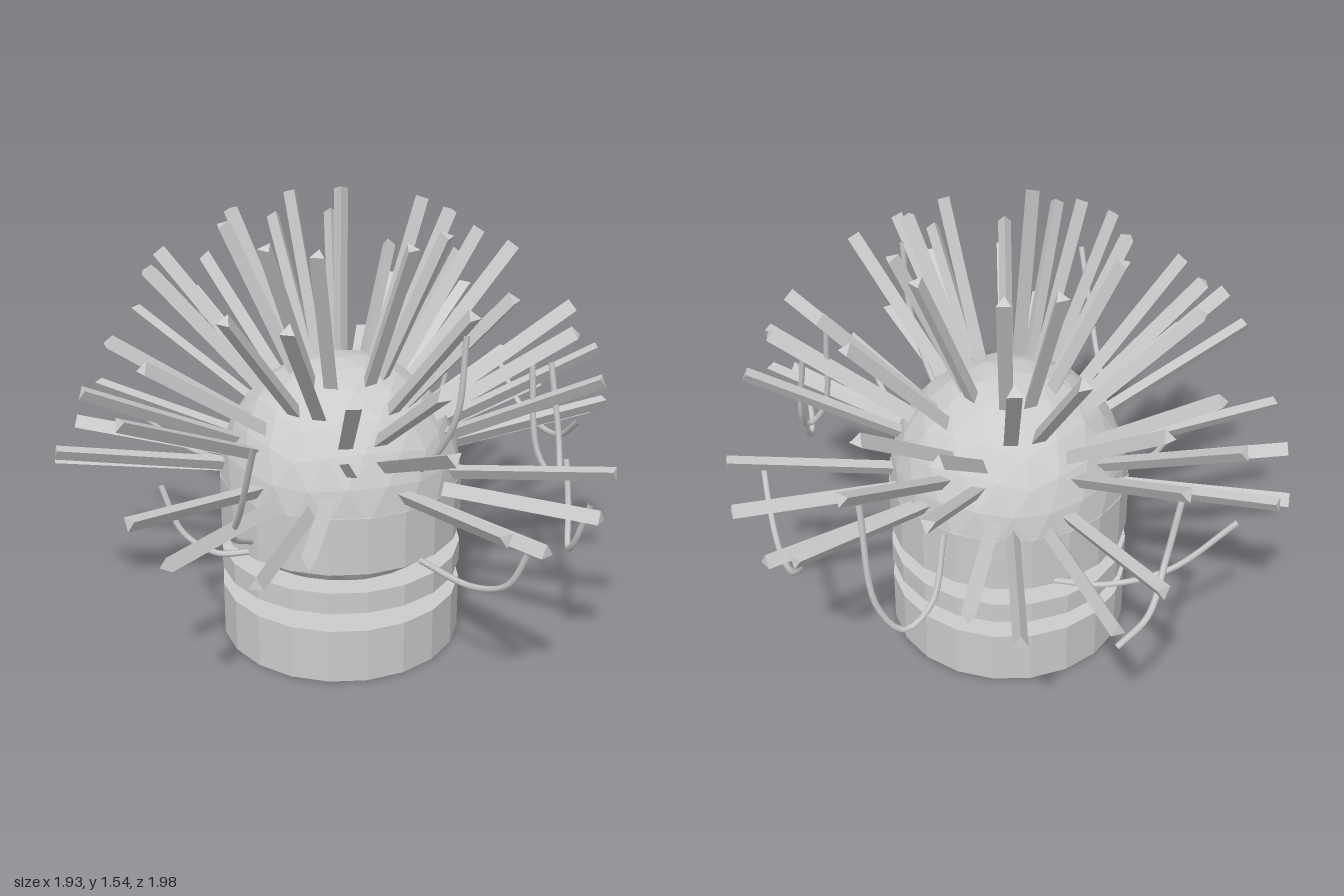
import * as THREE from 'three';

const CENTRE = new THREE.Vector3(-0.02, 0.61, 0);
const rad = THREE.MathUtils.degToRad;
const material = new THREE.MeshStandardMaterial({ color: 0xcccccc, flatShading: true });
const wireMaterial = new THREE.MeshStandardMaterial({ color: 0xcccccc });

function addMesh(parent, name, geometry, mat = material) {
  const mesh = new THREE.Mesh(geometry, mat);
  mesh.name = name;
  parent.add(mesh);
  return mesh;
}

// Three-sided rod pointing away from the dome centre, ridge up or down
function spikeGeometry(elevation, azimuth, ridgeUp) {
  const inner = 0.36, outer = 1.0;
  const g = new THREE.CylinderGeometry(0.028, 0.028, outer - inner, 3);
  g.translate(0, (inner + outer) / 2, 0);
  g.rotateY(ridgeUp ? -Math.PI / 2 : Math.PI / 2);
  g.rotateZ(-rad(90 - elevation));
  g.rotateY(rad(azimuth));
  return g.translate(CENTRE.x, CENTRE.y, CENTRE.z);
}

export function createModel() {
  const model = new THREE.Group();
  model.name = 'spikedDome';

  // Grooved round base
  const profile = [
    [0, 0], [0.43, 0], [0.43, 0.2], [0.3, 0.2], [0.3, 0.235],
    [0.43, 0.27], [0.43, 0.35], [0.3, 0.35], [0.3, 0.39],
    [0.43, 0.42], [0.43, 0.63], [0.38, 0.64],
  ].map(([r, y]) => new THREE.Vector2(r, y));
  addMesh(model, 'base', new THREE.LatheGeometry(profile, 20)).position.x = CENTRE.x;

  // Faceted dome with one vertex straight up
  const dome = new THREE.IcosahedronGeometry(0.43, 3);
  dome.rotateZ(Math.atan(2 / (1 + Math.sqrt(5))));
  dome.rotateY(Math.PI);
  addMesh(model, 'dome', dome).position.copy(CENTRE);

  // Spikes in rings of five pairs: elevation, pair centre, half spread, ridge up
  const spikes = new THREE.Group();
  spikes.name = 'spikes';
  model.add(spikes);
  const rings = [
    [66.9, 0, 13.3, true],
    [49.5, 0, 9.5, true],
    [36.5, 36, 9.8, true],
    [25.8, 36, 9.5, false],
    [9.8, 0, 18, false],
    [4.6, 0, 8.8, true],
  ];
  for (const [elevation, offset, spread, ridgeUp] of rings) {
    for (let k = 0; k < 5; k++) {
      for (const side of [-1, 1]) {
        addMesh(spikes, 'spike', spikeGeometry(elevation, offset + 72 * k + side * spread, ridgeUp));
      }
    }
  }

  // Loose wires hanging between the spikes
  const wires = new THREE.Group();
  wires.name = 'wires';
  model.add(wires);
  const paths = [
    [[0.09, 1.29, 0.59], [0.08, 1.02, 0.57], [0.07, 0.85, 0.48], [0.06, 0.74, 0.38]],
    [[0.11, 0.67, 0.93], [0.09, 0.53, 0.86], [0.07, 0.45, 0.7], [0.05, 0.42, 0.42]],
    [[-0.67, 0.67, -0.1], [-0.62, 0.5, -0.04], [-0.53, 0.43, 0.03], [-0.43, 0.43, 0.08]],
    [[-0.66, 1.08, 0.58], [-0.62, 0.78, 0.4], [-0.55, 0.57, 0.2], [-0.43, 0.48, 0.1]],
    [[-0.5, 0.69, -0.72], [-0.3, 0.5, -0.63], [-0.1, 0.44, -0.53], [0.03, 0.43, -0.42]],
    [[-0.14, 1.02, -0.88], [-0.08, 0.82, -0.9], [0.03, 0.7, -0.98], [0.13, 0.61, -0.97]],
    [[0.88, 0.74, -0.29], [0.88, 0.62, -0.16], [0.86, 0.585, 0], [0.82, 0.62, 0.18], [0.78, 0.74, 0.33]],
    [[0.72, 0.99, -0.38], [0.7, 0.6, -0.43], [0.62, 0.49, -0.46], [0.52, 0.56, -0.46], [0.44, 0.78, -0.4]],
    [[0.42, 0.73, 0.85], [0.42, 0.54, 0.77], [0.45, 0.5, 0.71], [0.5, 0.6, 0.64], [0.52, 0.76, 0.59]],
    [[0.56, 1.05, 0.43], [0.56, 0.75, 0.5], [0.52, 0.66, 0.55], [0.47, 0.75, 0.5], [0.46, 1.1, 0.45]],
  ];
  for (const path of paths) {
    const curve = new THREE.CatmullRomCurve3(path.map((p) => new THREE.Vector3(...p)));
    addMesh(wires, 'wire', new THREE.TubeGeometry(curve, 24, 0.011, 6), wireMaterial);
  }
  return model;
}
